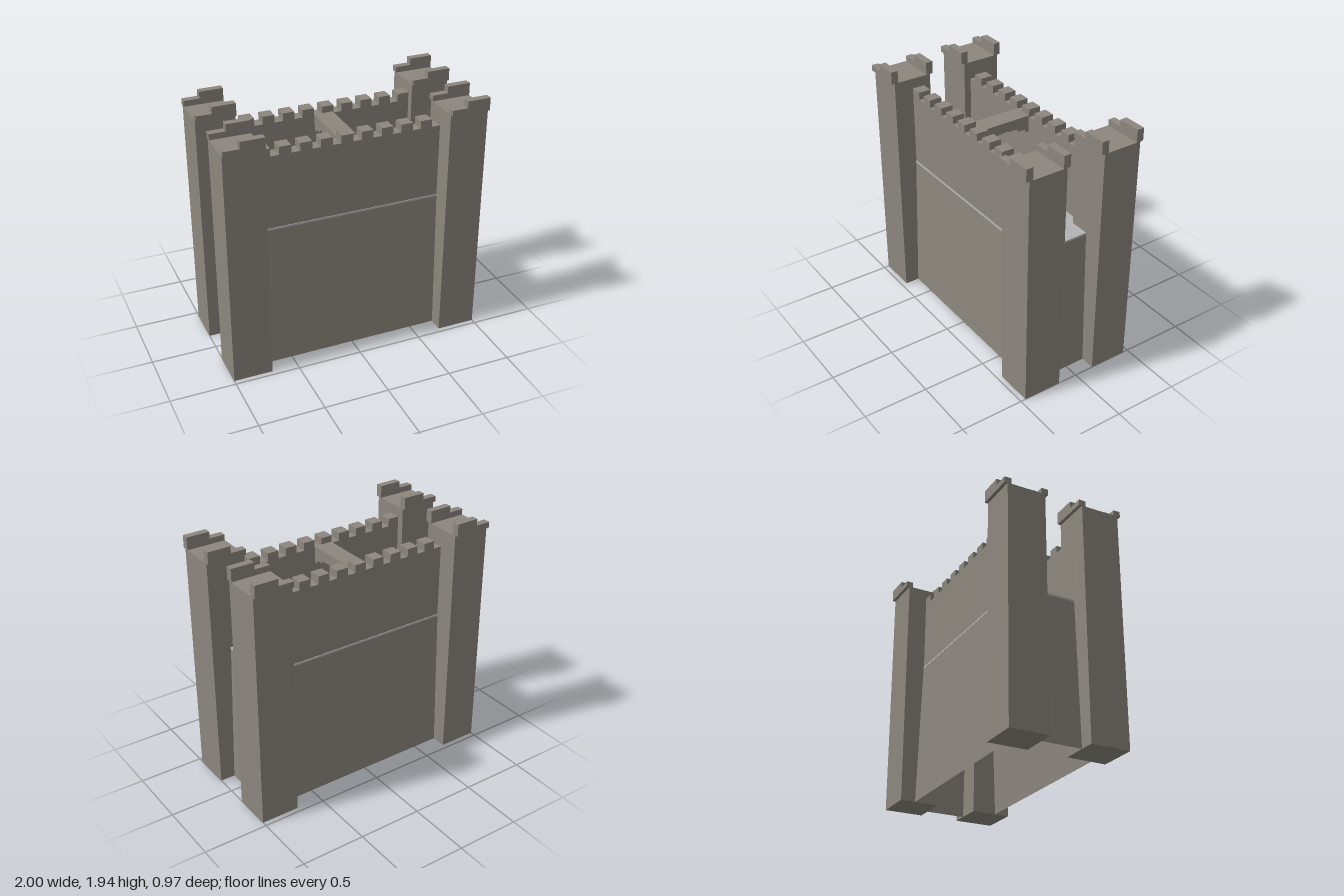
import * as THREE from 'three';

const stone = new THREE.MeshStandardMaterial({ color: 0x8c867d });
stone.name = 'stone';
stone.side = THREE.DoubleSide;
const paleStone = new THREE.MeshStandardMaterial({ color: 0xb3b3b3 });
paleStone.name = 'paleStone';

// Box given by its limits on each axis
function block(name, material, [x0, x1], [y0, y1], [z0, z1]) {
  const mesh = new THREE.Mesh(new THREE.BoxGeometry(x1 - x0, y1 - y0, z1 - z0), material);
  mesh.position.set((x0 + x1) / 2, (y0 + y1) / 2, (z0 + z1) / 2);
  mesh.name = name;
  return mesh;
}

// Outline in the first two axes, extruded symmetrically about the third
function slab(name, points, depth) {
  const shape = new THREE.Shape(points.map(([a, b]) => new THREE.Vector2(a, b)));
  const geo = new THREE.ExtrudeGeometry(shape, { depth, bevelEnabled: false });
  geo.translate(0, 0, -depth / 2);
  const mesh = new THREE.Mesh(geo, stone);
  mesh.name = name;
  return mesh;
}

// Open-bottomed base whose four sides lean inwards
function createBase() {
  const geo = new THREE.CylinderGeometry(Math.SQRT2, Math.SQRT2, 1.12, 4, 1, true)
    .rotateY(Math.PI / 4).translate(0, 0.56, 0).toNonIndexed();
  const p = geo.attributes.position;
  for (let i = 0; i < p.count; i++) {
    const lean = 0.035 * p.getY(i) / 1.12;
    p.setX(i, Math.sign(p.getX(i)) * (0.885 - lean));
    p.setZ(i, Math.sign(p.getZ(i)) * (0.345 - lean));
  }
  geo.computeVertexNormals();
  const mesh = new THREE.Mesh(geo, stone);
  mesh.name = 'base';
  return mesh;
}

// Square tower with two stepped parapets overhanging front and back
function createTower(name, x, z) {
  const tower = new THREE.Group();
  tower.name = name;
  tower.add(block('towerShaft', stone, [-0.15, 0.15], [0, 1.84], [-0.1525, 0.1525]));
  for (const s of [-1, 1]) {
    const parapet = slab('towerParapet', [
      [-0.15, 1.84], [0.15, 1.84], [0.15, 1.937], [-0.03, 1.937], [-0.03, 1.885], [-0.15, 1.885],
    ], 0.055);
    parapet.position.z = s * 0.15;
    tower.add(parapet);
  }
  tower.position.set(x, 0, z);
  return tower;
}

// Upper wall with a row of merlons
function createWall(name) {
  const wall = new THREE.Group();
  wall.name = name;
  const outline = [[-0.7, 1.13], [0.7, 1.13], [0.7, 1.7]];
  const count = 9, pitch = 1.4 / count, width = 0.09;
  for (let i = count - 1; i >= 0; i--) {
    const left = -0.7 + i * pitch;
    outline.push([left + width, 1.7], [left + width, 1.76], [left, 1.76]);
    if (i > 0) outline.push([left, 1.7]);
  }
  const panel = slab('crenellatedWall', outline, 0.097);
  panel.position.z = 0.2585;
  wall.add(panel);
  return wall;
}

// Walkway joining the two walls, with a shallow stepped arch below
function createBridge() {
  const half = [[0.03, 1.633], [0.03, 1.627], [0.11, 1.627], [0.11, 1.605],
    [0.18, 1.605], [0.18, 1.58], [0.212, 1.58], [0.212, 1.71]];
  const mirrored = half.map(([a, b]) => [-a, b]).reverse();
  const bridge = slab('bridge', [...half, ...mirrored], 0.145);
  bridge.rotation.y = Math.PI / 2;
  return bridge;
}

export function createModel() {
  const model = new THREE.Group();
  model.name = 'fortress';
  model.add(createBase());
  model.add(block('floor', paleStone, [-0.852, 0.852], [1.12, 1.135], [-0.312, 0.312]));

  const front = createWall('frontWall');
  const back = createWall('backWall');
  back.rotation.y = Math.PI;
  model.add(front, back, createBridge());

  for (const [side, x] of [['left', 0.85], ['right', -0.85]]) {
    for (const [end, z] of [['Front', 0.3075], ['Back', -0.3075]]) {
      model.add(createTower(`${side}${end}Tower`, x, z));
    }
  }
  return model;
}
